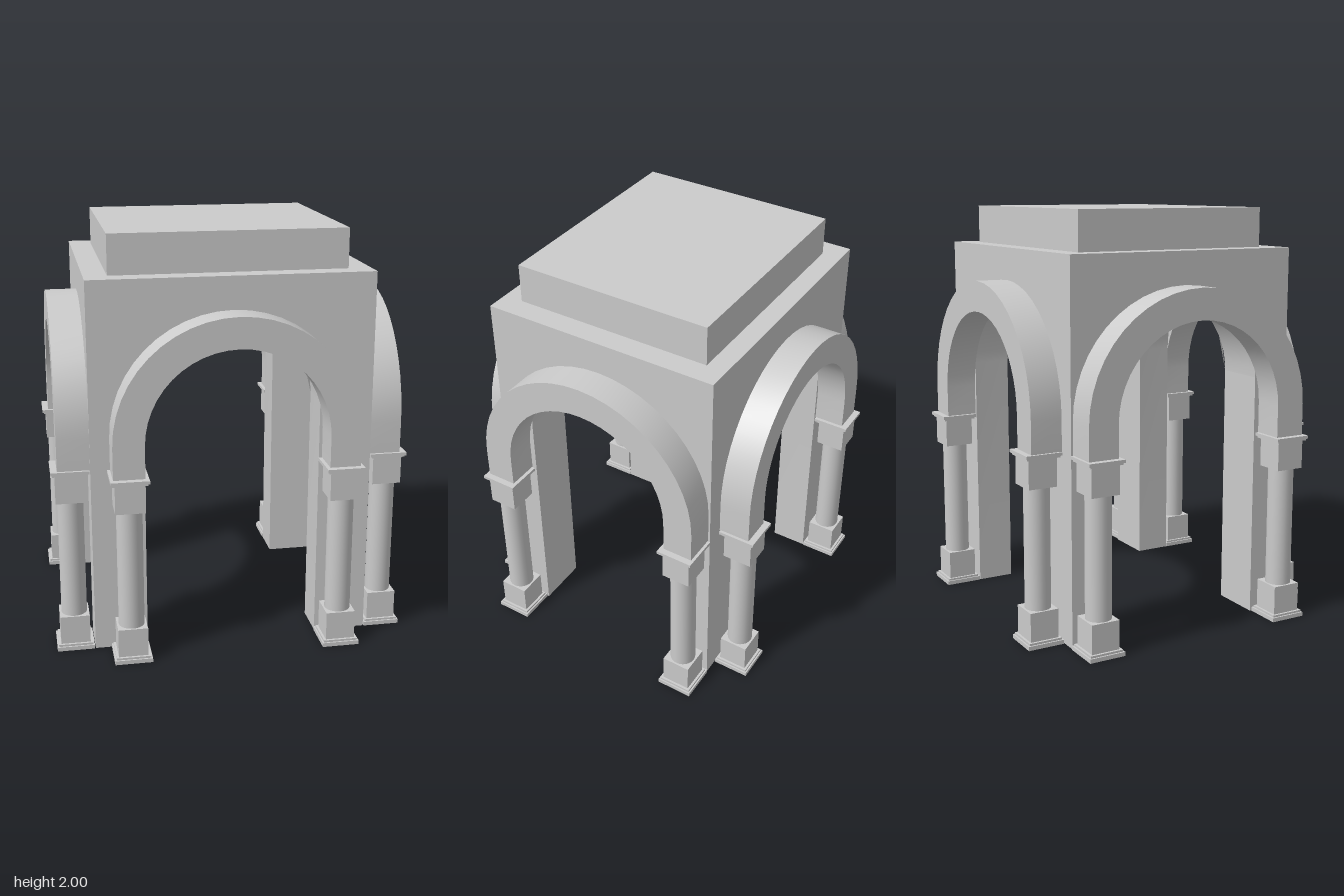
import * as THREE from 'three';
import { toCreasedNormals } from 'three/addons/utils/BufferGeometryUtils.js';

const material = new THREE.MeshStandardMaterial({ color: 0xcccccc, side: THREE.DoubleSide });
const HALF_X = 0.675, HALF_Z = 0.5925, WALL_TOP = 1.81; // outer body
const OPEN_X = 0.42, OPEN_Z = 0.41, SPRING = 1.19; // openings and vault

function add(parent, name, geometry, x = 0, y = 0, z = 0) {
  const mesh = new THREE.Mesh(geometry, material);
  mesh.name = name;
  mesh.position.set(x, y, z);
  parent.add(mesh);
  return mesh;
}

function box(parent, name, w, y0, y1, d, x = 0, z = 0) {
  return add(parent, name, new THREE.BoxGeometry(w, y1 - y0, d), x, (y0 + y1) / 2, z);
}

function extrude(shape, depth) {
  const geometry = new THREE.ExtrudeGeometry(shape, { depth, bevelEnabled: false, curveSegments: 12 });
  return toCreasedNormals(geometry, 0.5);
}

// Wall outline with an arched opening reaching the ground
function wallShape(half, open) {
  const s = new THREE.Shape();
  s.moveTo(open, 0);
  s.lineTo(half, 0);
  s.lineTo(half, WALL_TOP);
  s.lineTo(-half, WALL_TOP);
  s.lineTo(-half, 0);
  s.lineTo(-open, 0);
  s.lineTo(-open, SPRING);
  s.absarc(0, SPRING, open, Math.PI, 0, true);
  s.closePath();
  return s;
}

// Wall filling above the side openings, between the front and back walls
function lintelShape() {
  const s = new THREE.Shape();
  s.moveTo(OPEN_Z, SPRING);
  s.lineTo(OPEN_Z, WALL_TOP);
  s.lineTo(-OPEN_Z, WALL_TOP);
  s.lineTo(-OPEN_Z, SPRING);
  s.absarc(0, SPRING, OPEN_Z, Math.PI, 0, true);
  return s;
}

// Stilted round arch band
function archBandShape() {
  const outer = 0.583, inner = 0.435, base = 0.915, centre = 1.07;
  const s = new THREE.Shape();
  s.moveTo(inner, base);
  s.lineTo(outer, base);
  s.lineTo(outer, centre);
  s.absarc(0, centre, outer, 0, Math.PI, false);
  s.lineTo(-outer, base);
  s.lineTo(-inner, base);
  s.lineTo(-inner, centre);
  s.absarc(0, centre, inner, Math.PI, 0, true);
  s.closePath();
  return s;
}

// Shallow spherical vault whose edges meet the four arches
function vaultGeometry() {
  const g = new THREE.PlaneGeometry(2 * OPEN_X, 2 * OPEN_Z, 20, 20);
  g.rotateX(Math.PI / 2);
  const r2 = OPEN_X ** 2 + OPEN_Z ** 2;
  const p = g.attributes.position;
  for (let i = 0; i < p.count; i++) {
    const x = p.getX(i), z = p.getZ(i);
    p.setY(i, SPRING + Math.sqrt(Math.max(0, r2 - x * x - z * z)));
  }
  g.computeVertexNormals();
  return g;
}

function makeColumn() {
  const column = new THREE.Group();
  column.name = 'column';
  box(column, 'plinth', 0.18, 0, 0.02, 0.18);
  box(column, 'plinthStep', 0.165, 0.02, 0.03, 0.165);
  box(column, 'baseBlock', 0.142, 0.03, 0.17, 0.142);
  add(column, 'shaft', new THREE.CylinderGeometry(0.062, 0.062, 0.585, 24), 0, 0.4625, 0);
  box(column, 'capitalBlock', 0.142, 0.755, 0.893, 0.142);
  box(column, 'capitalStep', 0.165, 0.893, 0.902, 0.165);
  box(column, 'capitalPlate', 0.18, 0.902, 0.917, 0.18);
  return column;
}

// Arch band carried by two columns, standing in front of a wall
function makePortal(name, angle, distance) {
  const portal = new THREE.Group();
  portal.name = name;
  add(portal, 'archBand', extrude(archBandShape(), 0.153), 0, 0, distance);
  for (const side of [-1, 1]) {
    const column = makeColumn();
    column.position.set(side * 0.507, 0, distance + 0.094);
    portal.add(column);
  }
  portal.rotation.y = angle;
  return portal;
}

export function createModel() {
  const model = new THREE.Group();
  model.name = 'archedPavilion';

  // Body: front and back walls with piers, side lintels and piers between
  const wall = extrude(wallShape(HALF_X, OPEN_X), HALF_Z - OPEN_Z);
  add(model, 'frontWall', wall, 0, 0, OPEN_Z);
  add(model, 'backWall', wall, 0, 0, -HALF_Z);
  const lintel = extrude(lintelShape(), HALF_X - OPEN_X);
  add(model, 'leftLintel', lintel, OPEN_X).rotation.y = Math.PI / 2;
  add(model, 'rightLintel', lintel, -OPEN_X).rotation.y = -Math.PI / 2;
  add(model, 'vault', vaultGeometry());
  box(model, 'roof', 2 * OPEN_X, 1.785, WALL_TOP, 2 * OPEN_Z);
  box(model, 'topBlock', 1.13, WALL_TOP, 2, 0.99);

  // One portal on each side
  model.add(makePortal('frontPortal', 0, HALF_Z));
  model.add(makePortal('leftPortal', Math.PI / 2, HALF_X));
  model.add(makePortal('backPortal', Math.PI, HALF_Z));
  model.add(makePortal('rightPortal', -Math.PI / 2, HALF_X));
  return model;
}
